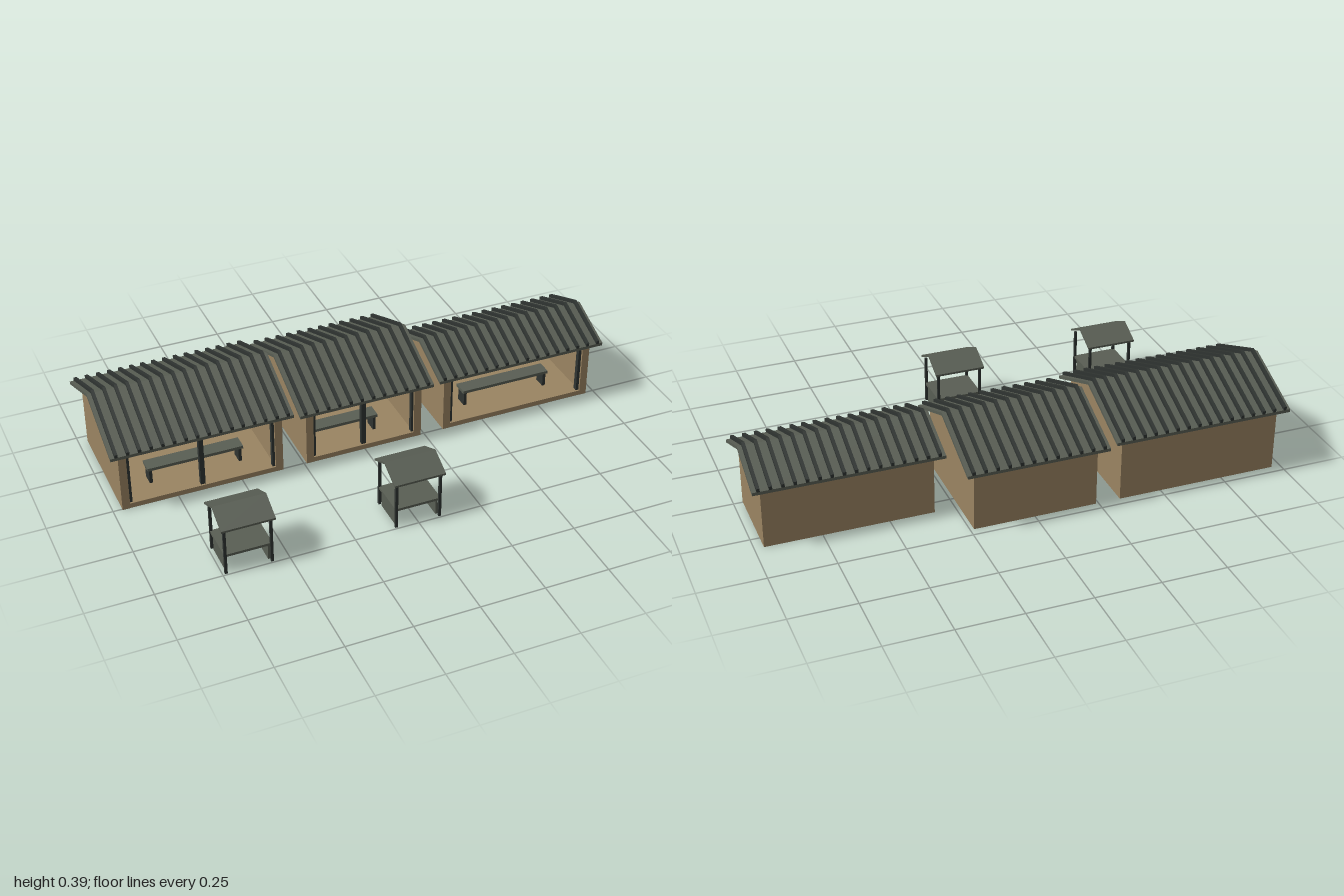
import * as THREE from 'three';

const mat = (name, color) => {
  const m = new THREE.MeshStandardMaterial({ color });
  m.name = name;
  return m;
};
const timber = mat('tan timber', 0x9a8462);
const slate = mat('grey green roofing', 0x595e54);
const dark = mat('dark frame', 0x2f3431);

// Box given by its centre x and z, and its bottom height
function box(parent, name, material, w, h, d, x, y, z) {
  const m = new THREE.Mesh(new THREE.BoxGeometry(w, h, d), material);
  m.name = name;
  m.position.set(x, y + h / 2, z);
  parent.add(m);
  return m;
}

// Profile in [z, y] points, extruded along x from x0 over width w
function prism(parent, name, material, points, x0, w) {
  const shape = new THREE.Shape(points.map(([z, y]) => new THREE.Vector2(-z, y)));
  const geo = new THREE.ExtrudeGeometry(shape, { depth: w, bevelEnabled: false });
  geo.rotateY(Math.PI / 2);
  const m = new THREE.Mesh(geo, material);
  m.name = name;
  m.position.x = x0;
  parent.add(m);
  return m;
}

// Bent strip that follows both roof slopes
const chevron = (zc, half, ridge, eave, t) => [
  [zc + half, eave], [zc, ridge], [zc - half, eave],
  [zc - half, eave - t], [zc, ridge - t], [zc + half, eave - t],
];

function hall({ name, x0, x1, back, ridge, eave, posts, bench, ribs }) {
  const g = new THREE.Group();
  g.name = name;
  const front = 0.005, wall = 0.03, over = 0.035;
  const zc = (front + back) / 2, half = (front - back) / 2;
  const roofHalf = half + over;
  const slope = (ridge - eave) / roofHalf;
  const t = 0.012;
  const top = ridge - t, side = top - slope * half;
  const cx = (x0 + x1) / 2, w = x1 - x0;

  // Floor, gable walls and back wall
  box(g, 'floor', timber, w - 2 * wall, 0.02, 2 * half - 0.002, cx, 0, zc);
  const gable = [[front, 0], [front, side], [zc, top], [back, side], [back, 0]];
  prism(g, 'gableWallRight', timber, gable, x0, wall);
  prism(g, 'gableWallLeft', timber, gable, x1 - wall, wall);
  box(g, 'backWall', timber, w - 2 * wall, side, 0.02, cx, 0, back + 0.01);

  // Roof sheet and raised ribs
  const rx = x0 - over, rw = w + 2 * over;
  prism(g, 'roof', slate, chevron(zc, roofHalf, ridge, eave, t), rx, rw);
  const rib = chevron(zc, roofHalf + 0.001, ridge + 0.013, eave + 0.013, 0.013);
  for (let i = 0; i < ribs; i++) {
    prism(g, 'roofRib', dark, rib, rx + (rw * (i + 0.5)) / ribs - 0.006, 0.012);
  }

  // Front posts up to the underside of the roof
  for (const x of posts) box(g, 'frontPost', dark, 0.018, side - 0.002, 0.018, x, 0.002, -0.012);

  // Bench
  const [bx, bl, bz] = bench;
  box(g, 'benchSeat', slate, bl, 0.012, 0.06, bx, 0.078, bz);
  for (const s of [-1, 1]) {
    box(g, 'benchLeg', dark, 0.012, 0.058, 0.05, bx + s * (bl / 2 - 0.012), 0.02, bz);
  }
  return g;
}

function stall(x) {
  const g = new THREE.Group();
  g.name = 'marketStall';
  const zc = 0.414;
  prism(g, 'stallRoof', slate, chevron(zc, 0.091, 0.242, 0.198, 0.008), -0.1, 0.2);
  box(g, 'counter', slate, 0.18, 0.01, 0.15, 0, 0.07, zc);
  for (const s of [-1, 1]) {
    box(g, 'sidePanel', slate, 0.008, 0.07, 0.125, s * 0.08, 0, zc);
    for (const f of [-1, 1]) {
      box(g, 'stallPost', dark, 0.01, 0.19, 0.01, s * 0.086, 0, zc + f * 0.075);
    }
  }
  g.position.x = x;
  return g;
}

export function createModel() {
  const model = new THREE.Group();
  model.name = 'marketHalls';

  const large = hall({
    name: 'largeHall', x0: -0.965, x1: -0.335, back: -0.467, ridge: 0.375, eave: 0.263,
    posts: [-0.932, -0.65, -0.366], bench: [-0.65, 0.375, -0.11], ribs: 16,
  });
  // Rails along the back wall
  for (const y of [0.045, 0.085, 0.125]) {
    box(large, 'wallRail', dark, 0.57, 0.007, 0.012, -0.65, y, -0.441);
  }

  const middle = hall({
    name: 'middleHall', x0: -0.24, x1: 0.235, back: -0.467, ridge: 0.36, eave: 0.248,
    posts: [-0.208, -0.002, 0.206], bench: [-0.055, 0.28, -0.1], ribs: 12,
  });
  // Low panel against the back wall
  box(middle, 'wallPanel', timber, 0.415, 0.156, 0.015, -0.0025, 0.02, -0.44);

  const small = hall({
    name: 'smallHall', x0: 0.33, x1: 0.965, back: -0.312, ridge: 0.331, eave: 0.252,
    posts: [0.363, 0.932], bench: [0.645, 0.375, -0.11], ribs: 16,
  });

  model.add(large, middle, small, stall(-0.65), stall(0));
  return model;
}
